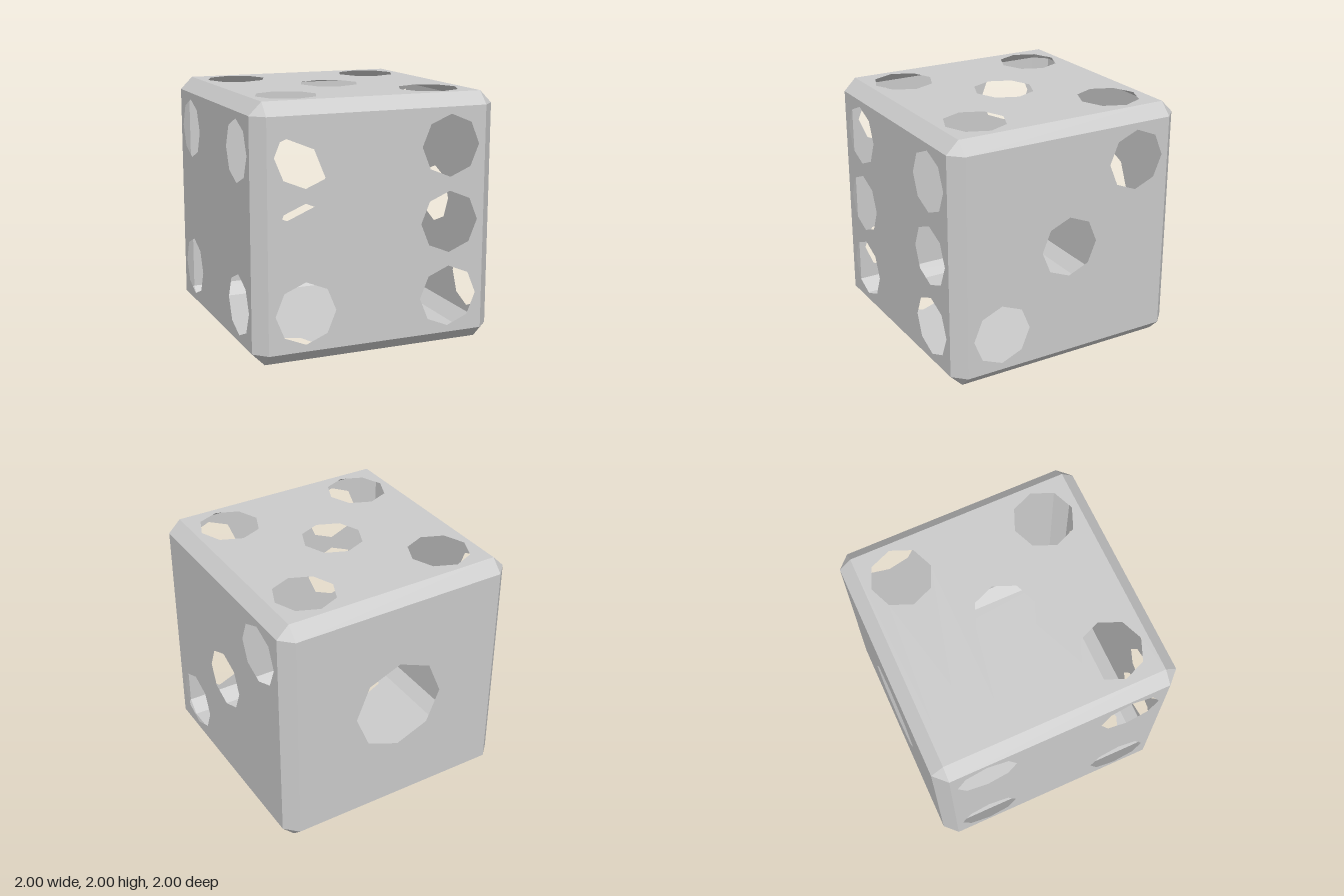
import * as THREE from 'three';

const HALF = 1, FLAT = 0.9, PIP = 0.6;
const material = new THREE.MeshStandardMaterial({
  color: 0xcccccc, flatShading: true, side: THREE.DoubleSide,
});

// Square panel with octagonal openings, facing +z
function panelGeometry(holes, radius) {
  const shape = new THREE.Shape();
  shape.moveTo(-FLAT, -FLAT);
  shape.lineTo(FLAT, -FLAT);
  shape.lineTo(FLAT, FLAT);
  shape.lineTo(-FLAT, FLAT);
  shape.closePath();
  for (const [x, y] of holes) {
    const points = [];
    for (let i = 0; i < 8; i++) {
      const a = -i * Math.PI / 4;
      points.push(new THREE.Vector2(x + radius * Math.cos(a), y + radius * Math.sin(a)));
    }
    shape.holes.push(new THREE.Path(points));
  }
  return new THREE.ShapeGeometry(shape).translate(0, 0, HALF);
}

export function createModel() {
  const model = new THREE.Group();
  model.name = 'hollowDie';
  const shell = new THREE.Group();
  shell.name = 'shell';
  shell.position.y = HALF;
  model.add(shell);

  const add = (name, geometry) => {
    const mesh = new THREE.Mesh(geometry, material);
    mesh.name = name;
    shell.add(mesh);
  };

  // Pip layouts
  const p = PIP, q = Math.PI / 2;
  const diagonalUp = [[-p, -p], [p, p]];
  const diagonalDown = [[-p, p], [p, -p]];
  const four = [...diagonalUp, ...diagonalDown];

  // Six panels: name, pips, pip radius, turn about x, turn about y
  const panels = [
    ['frontPanel', [...four, [-p, 0], [p, 0]], 0.245, 0, 0],
    ['backPanel', [[0, 0]], 0.385, 0, 2 * q],
    ['leftPanel', [...diagonalUp, [0, 0]], 0.245, 0, q],
    ['rightPanel', four, 0.245, 0, -q],
    ['topPanel', [...four, [0, 0]], 0.245, -q, 0],
    ['bottomPanel', diagonalDown, 0.245, q, 0],
  ];
  for (const [name, holes, radius, rx, ry] of panels) {
    add(name, panelGeometry(holes, radius).rotateX(rx).rotateY(ry));
  }

  // Twelve bevelled edges, four along each axis
  for (const axis of ['x', 'y', 'z']) {
    for (let k = 0; k < 4; k++) {
      const strip = new THREE.PlaneGeometry(2 * FLAT, (HALF - FLAT) * Math.SQRT2);
      strip.translate(0, 0, (HALF + FLAT) / Math.SQRT2).rotateX(q * (k + 0.5));
      if (axis === 'y') strip.rotateZ(q);
      if (axis === 'z') strip.rotateY(q);
      add('edgeBevel', strip);
    }
  }

  // Eight triangular corners
  for (const x of [-1, 1]) for (const y of [-1, 1]) for (const z of [-1, 1]) {
    const a = [x * HALF, y * FLAT, z * FLAT];
    const b = [x * FLAT, y * HALF, z * FLAT];
    const c = [x * FLAT, y * FLAT, z * HALF];
    const corners = x * y * z > 0 ? [a, b, c] : [a, c, b];
    const triangle = new THREE.BufferGeometry();
    triangle.setAttribute('position', new THREE.Float32BufferAttribute(corners.flat(), 3));
    triangle.computeVertexNormals();
    add('cornerBevel', triangle);
  }

  return model;
}
